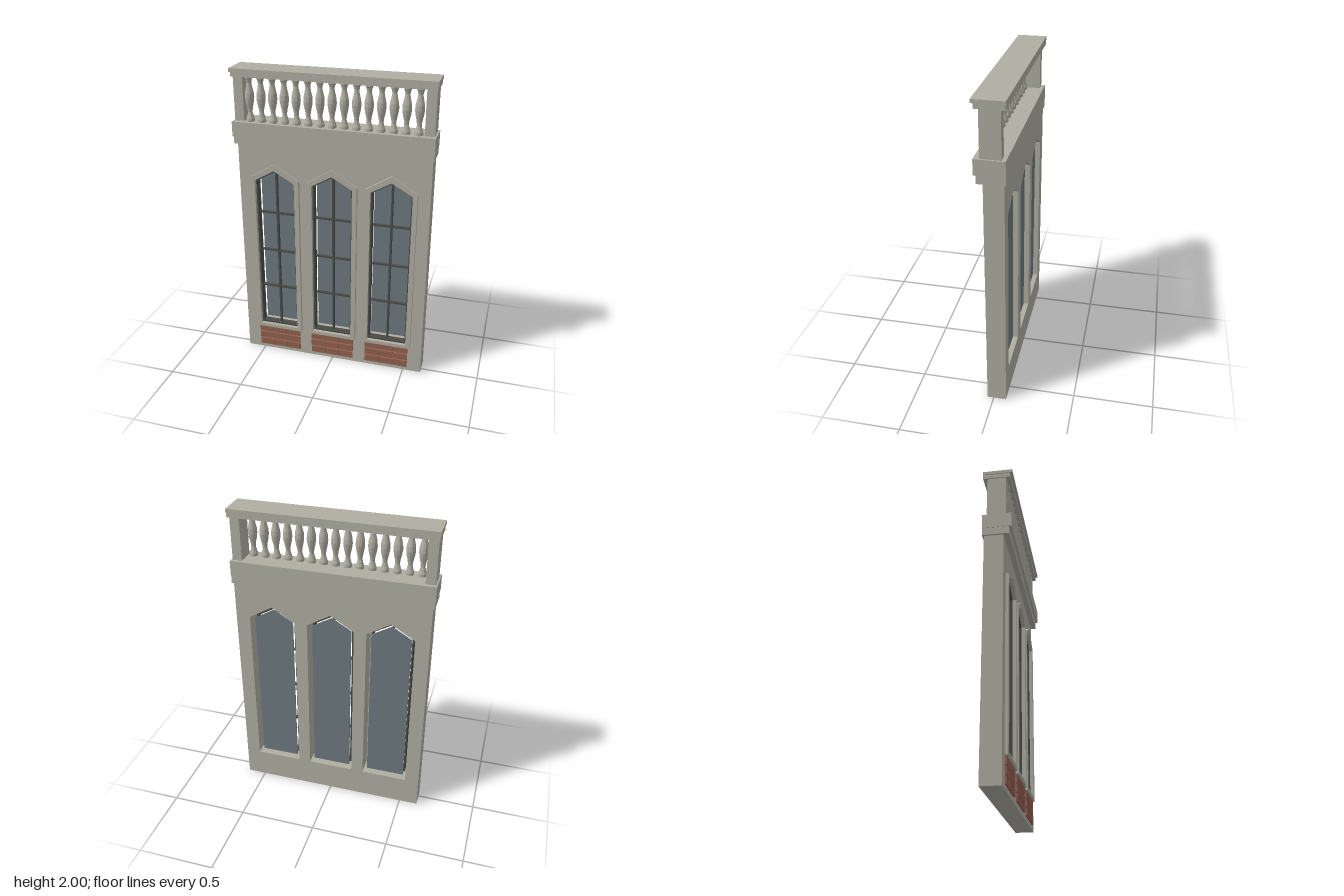
import * as THREE from 'three';

const material = (name, color, flatShading = false) => {
  const m = new THREE.MeshStandardMaterial({ color });
  m.name = name;
  m.flatShading = flatShading;
  return m;
};

export function createModel() {
  const stone = material('stone', 0xb0aea2, true);
  const glass = material('glass', 0x6d7a7f);
  const darkFrame = material('dark frame', 0x4a4a45);
  const brick = material('brick', 0x94604f);

  const model = new THREE.Group();
  model.name = 'balustradedWall';

  const add = (parent, name, geometry, mat) => {
    const mesh = new THREE.Mesh(geometry, mat);
    mesh.name = name;
    parent.add(mesh);
    return mesh;
  };
  // Box given by its limits on each axis
  const box = (parent, name, mat, x0, x1, y0, y1, z0, z1) => {
    const mesh = add(parent, name, new THREE.BoxGeometry(x1 - x0, y1 - y0, z1 - z0), mat);
    mesh.position.set((x0 + x1) / 2, (y0 + y1) / 2, (z0 + z1) / 2);
    return mesh;
  };
  // Pointed window outline
  const outline = (half, bottom, shoulder, apex, cx = 0) => [
    [-half, bottom], [half, bottom], [half, shoulder], [0, apex], [-half, shoulder],
  ].map(([x, y]) => new THREE.Vector2(x + cx, y));
  const extrude = (points, holes, z0, z1) => {
    const shape = new THREE.Shape(points);
    holes.forEach((h) => shape.holes.push(new THREE.Path(h)));
    return new THREE.ExtrudeGeometry(shape, { depth: z1 - z0, bevelEnabled: false }).translate(0, 0, z0);
  };

  // Main wall with three pointed openings
  const centres = [-0.38, 0, 0.38];
  const wallEdge = [[-0.62, 0], [0.62, 0], [0.62, 1.53], [-0.62, 1.53]].map(([x, y]) => new THREE.Vector2(x, y));
  add(model, 'wall', extrude(wallEdge, centres.map((c) => outline(0.15, 0.195, 1.295, 1.385, c)), -0.08, 0.04), stone);

  // Windows and the brick panels under them
  centres.forEach((cx) => {
    const bay = new THREE.Group();
    bay.name = 'windowBay';
    bay.position.x = cx;
    model.add(bay);

    const opening = outline(0.132, 0.208, 1.283, 1.358);
    add(bay, 'stoneSurround', extrude(outline(0.163, 0.185, 1.3, 1.4), [opening], 0.035, 0.06), stone);
    add(bay, 'windowFrame', extrude(opening, [outline(0.122, 0.218, 1.275, 1.345)], -0.01, 0.036), darkFrame);
    add(bay, 'windowPane', extrude(outline(0.126, 0.212, 1.278, 1.352), [], -0.05, -0.043), glass);

    box(bay, 'verticalBar', darkFrame, -0.006, 0.006, 0.212, 1.345, 0, 0.02);
    [0.5, 0.775, 1.05].forEach((y) => box(bay, 'crossBar', darkFrame, -0.126, 0.126, y - 0.005, y + 0.005, 0, 0.02));

    for (let row = 0; row < 3; row++) {
      for (let col = 0; col < 3; col++) {
        const x = -0.148 + col * 0.099;
        const y = 0.03 + row * 0.054;
        box(bay, 'brick', brick, x, x + 0.097, y, y + 0.046, 0.035, 0.05);
      }
    }
  });

  // Cornice
  box(model, 'corniceLower', stone, -0.63, 0.63, 1.525, 1.575, -0.09, 0.075);
  box(model, 'corniceUpper', stone, -0.632, 0.632, 1.575, 1.67, -0.09, 0.09);

  // End posts and handrail
  [-1, 1].forEach((s) => {
    box(model, 'endPost', stone, s * 0.592 - 0.03, s * 0.592 + 0.03, 1.67, 1.95, -0.065, 0.055);
  });
  box(model, 'railLower', stone, -0.628, 0.628, 1.948, 1.98, -0.09, 0.08);
  box(model, 'railUpper', stone, -0.632, 0.632, 1.978, 2, -0.092, 0.094);

  // Turned balusters
  const profile = [
    [0.026, 0], [0.026, 0.018], [0.02, 0.035], [0.014, 0.06], [0.017, 0.085], [0.025, 0.12],
    [0.029, 0.15], [0.027, 0.18], [0.018, 0.22], [0.015, 0.24], [0.02, 0.262], [0.025, 0.27], [0.025, 0.282],
  ].map(([r, y]) => new THREE.Vector2(r, y));
  const balusterGeometry = new THREE.LatheGeometry(profile, 12);
  for (let i = -7; i <= 7; i++) {
    add(model, 'baluster', balusterGeometry, stone).position.set(i * 0.075, 1.668, 0.04);
  }

  return model;
}
